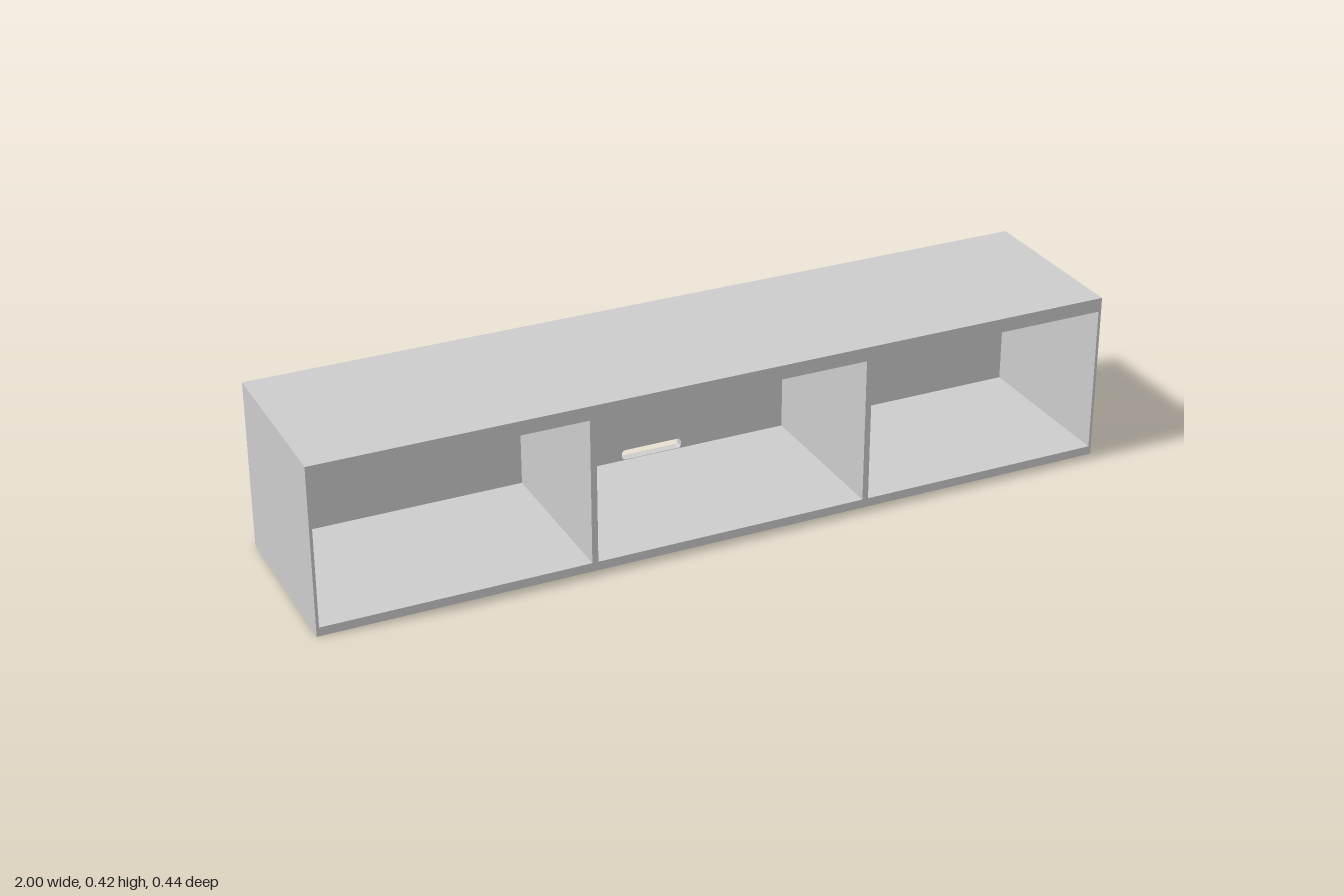
import * as THREE from 'three';

const W = 2, H = 0.423, D = 0.445, BACK = 0.022;
const FLOOR = 0.022, CEILING = 0.388;

// Adds a rectangle, optionally with rounded corners, to a shape or hole path
function rect(path, x0, y0, x1, y1, r = 0) {
  if (r === 0) {
    path.moveTo(x0, y0).lineTo(x1, y0).lineTo(x1, y1).lineTo(x0, y1).closePath();
    return path;
  }
  path.absarc(x1 - r, y0 + r, r, -Math.PI / 2, 0);
  path.absarc(x1 - r, y1 - r, r, 0, Math.PI / 2);
  path.absarc(x0 + r, y1 - r, r, Math.PI / 2, Math.PI);
  path.absarc(x0 + r, y0 + r, r, Math.PI, Math.PI * 1.5);
  path.closePath();
  return path;
}

export function createModel() {
  const group = new THREE.Group();
  group.name = 'wallCabinet';
  const material = new THREE.MeshStandardMaterial({ color: 0xcccccc });

  // Extrudes an outline with holes from z, by depth
  function panel(name, holes, z, depth) {
    const shape = rect(new THREE.Shape(), -W / 2, 0, W / 2, H);
    shape.holes.push(...holes);
    const geometry = new THREE.ExtrudeGeometry(shape, { depth, bevelEnabled: false, curveSegments: 6 });
    const mesh = new THREE.Mesh(geometry, material);
    mesh.name = name;
    mesh.position.z = z;
    group.add(mesh);
  }

  // Carcass: top, bottom, thin sides and two dividers around three open bays
  const bays = [[-0.993, -0.34], [-0.325, 0.36], [0.375, 0.993]];
  const openings = bays.map(([x0, x1]) => rect(new THREE.Path(), x0, FLOOR, x1, CEILING));
  panel('carcass', openings, -D / 2 + BACK, D - BACK);

  // Back panel with a cable slot just above the floor of the middle bay
  const slot = rect(new THREE.Path(), -0.076, FLOOR + 0.001, 0.082, 0.049, 0.008);
  panel('backPanel', [slot], -D / 2, BACK);

  return group;
}
